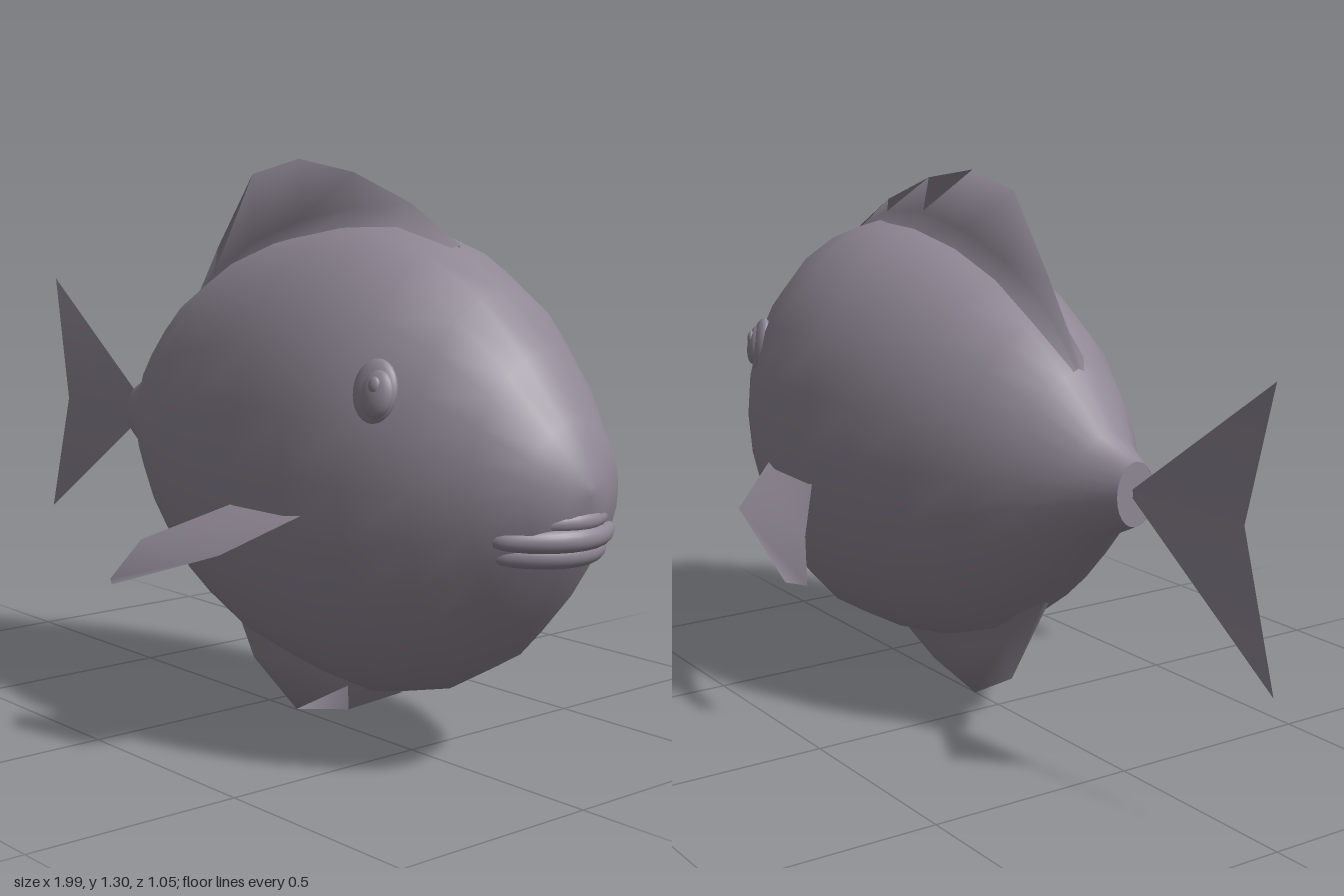
import * as THREE from 'three';
import { mergeVertices } from 'three/addons/utils/BufferGeometryUtils.js';

const MID = -0.017; // z of the body's centre plane

// Skin a list of cross-sections, each a list of [x, y, z] points
function loft(sections, closed) {
  const n = sections[0].length;
  const index = [];
  for (let j = 0; j < sections.length - 1; j++) {
    for (let i = 0; i < (closed ? n : n - 1); i++) {
      const a = j * n + i, b = j * n + (i + 1) % n;
      index.push(a, b, a + n, b, b + n, a + n);
    }
  }
  let g = new THREE.BufferGeometry();
  g.setAttribute('position', new THREE.Float32BufferAttribute(sections.flat(2), 3));
  g.setIndex(index);
  g = mergeVertices(g);
  g.computeVertexNormals();
  return g;
}

// Flat sheet as a triangle fan list
function sheet(points, faces) {
  const g = new THREE.BufferGeometry();
  g.setAttribute('position', new THREE.Float32BufferAttribute(points.flat(), 3));
  g.setIndex(faces);
  g.computeVertexNormals();
  return g;
}

export function createModel() {
  const group = new THREE.Group();
  group.name = 'fish';
  const skin = new THREE.MeshStandardMaterial({ color: 0x8f8794, side: THREE.DoubleSide });
  skin.name = 'mauve grey skin';
  const add = (name, geometry, parent = group) => {
    const mesh = new THREE.Mesh(geometry, skin);
    mesh.name = name;
    parent.add(mesh);
    return mesh;
  };

  // Body: elliptical rings of [x, top y, bottom y, half width]
  const rings = [
    [-0.545, 0.725, 0.58, 0.05], [-0.45, 0.77, 0.535, 0.09], [-0.34, 0.89, 0.43, 0.165],
    [-0.22, 0.99, 0.32, 0.23], [-0.07, 1.07, 0.22, 0.29], [0.1, 1.125, 0.16, 0.332],
    [0.28, 1.155, 0.13, 0.355], [0.45, 1.16, 0.12, 0.355], [0.6, 1.115, 0.16, 0.328],
    [0.74, 1.03, 0.24, 0.27], [0.85, 0.91, 0.36, 0.205], [0.94, 0.78, 0.485, 0.135],
    [0.975, 0.7, 0.57, 0.06], [0.987, 0.655, 0.635, 0.008], [0.987, 0.645, 0.645, 0],
  ];
  const sections = rings.map(([x, top, low, rz]) => Array.from({ length: 24 }, (_, i) => {
    const a = i / 24 * Math.PI * 2;
    return [x, (top + low) / 2 + Math.cos(a) * (top - low) / 2, MID + Math.sin(a) * rz];
  }));
  add('body', loft(sections, true));
  const cap = add('tailStumpCap', new THREE.CircleGeometry(1, 24));
  cap.scale.set(0.05, 0.0725, 1);
  cap.rotation.y = -Math.PI / 2;
  cap.position.set(-0.544, 0.6525, MID);

  // Dorsal and anal fins: thin blades flaring into the body, stations of [x, base y, tip y, tip z]
  const blade = (dir, stations) => loft(stations.map(([x, base, tip, z]) => {
    const rise = Math.min(0.04, Math.abs(tip - base) * 0.4) * dir;
    return [
      [x, base - 0.02 * dir, MID - 0.05 * dir], [x, base + rise, MID - 0.012 * dir],
      [x, tip, z],
      [x, base + rise, MID + 0.012 * dir], [x, base - 0.02 * dir, MID + 0.05 * dir],
    ];
  }), false);
  add('dorsalFin', blade(1, [
    [-0.34, 0.885, 0.895, -0.02], [-0.22, 0.985, 1.085, -0.015], [-0.07, 1.065, 1.265, -0.005],
    [0.1, 1.12, 1.3, -0.004], [0.28, 1.15, 1.27, -0.012], [0.45, 1.155, 1.205, -0.025],
    [0.6, 1.11, 1.118, -0.03],
  ]));
  add('analFin', blade(-1, [
    [-0.23, 0.335, 0.325, -0.017], [-0.07, 0.225, 0.09, -0.008], [0.1, 0.165, 0, -0.002],
    [0.28, 0.135, 0.04, -0.008], [0.45, 0.125, 0.118, -0.017],
  ]));

  // Forked tail
  add('tailFin', sheet([
    [-0.53, 0.655, -0.024], [-1, 0.975, -0.045], [-0.87, 0.655, 0.002], [-1, 0.335, -0.025],
  ], [0, 1, 2, 0, 2, 3]));

  // Pectoral fins, bent downward halfway along
  for (const [name, s] of [['left', 1], ['right', -1]]) {
    const root = s > 0 ? 0.32 : 0.35, bend = s > 0 ? 0.46 : 0.49;
    add(name + 'PectoralFin', sheet([
      [0.5, 0.568, s * root], [0.28, 0.565, s * root], [0.12, 0.475, s * 0.46],
      [0.4, 0.485, s * bend], [0.05, 0.38, s * 0.495], [0.1, 0.38, s * 0.525],
    ], [0, 1, 2, 0, 2, 3, 3, 2, 4, 3, 4, 5]));

    // Eye: flattened ball with a raised iris and pupil
    const eye = new THREE.Group();
    eye.name = name + 'Eye';
    eye.position.set(0.65, 0.835, MID + s * 0.273);
    eye.scale.z = s;
    eye.rotation.set(-s * 0.2, s * 0.25, 0);
    group.add(eye);
    for (const [part, x, y, z, rx, ry, rz] of [
      ['eyelid', 0, 0, 0, 0.052, 0.067, 0.022],
      ['iris', 0.012, -0.005, 0.011, 0.037, 0.05, 0.019],
      ['pupil', 0.012, 0.012, 0.026, 0.013, 0.017, 0.008],
    ]) {
      const ball = add(part, new THREE.SphereGeometry(1, 20, 14), eye);
      ball.scale.set(rx, ry, rz);
      ball.position.set(x, y, z);
    }
  }

  // Lips: long rolls bent back around the snout
  for (const [name, y, x, ry, half] of [
    ['upperLip', 0.585, 0.958, 0.024, 0.15],
    ['middleLip', 0.55, 0.964, 0.027, 0.168],
    ['lowerLip', 0.517, 0.95, 0.028, 0.158],
  ]) {
    const lip = new THREE.SphereGeometry(1, 28, 16);
    lip.rotateX(Math.PI / 2);
    const p = lip.attributes.position;
    for (let i = 0; i < p.count; i++) {
      const t = p.getZ(i);
      const round = Math.pow(Math.max(1 - t * t, 1e-6), -0.25); // blunter ends
      p.setXYZ(i, x + p.getX(i) * round * 0.03 - 0.085 * t * t, y + p.getY(i) * round * ry, MID + t * half);
    }
    lip.computeVertexNormals();
    add(name, lip);
  }
  return group;
}
